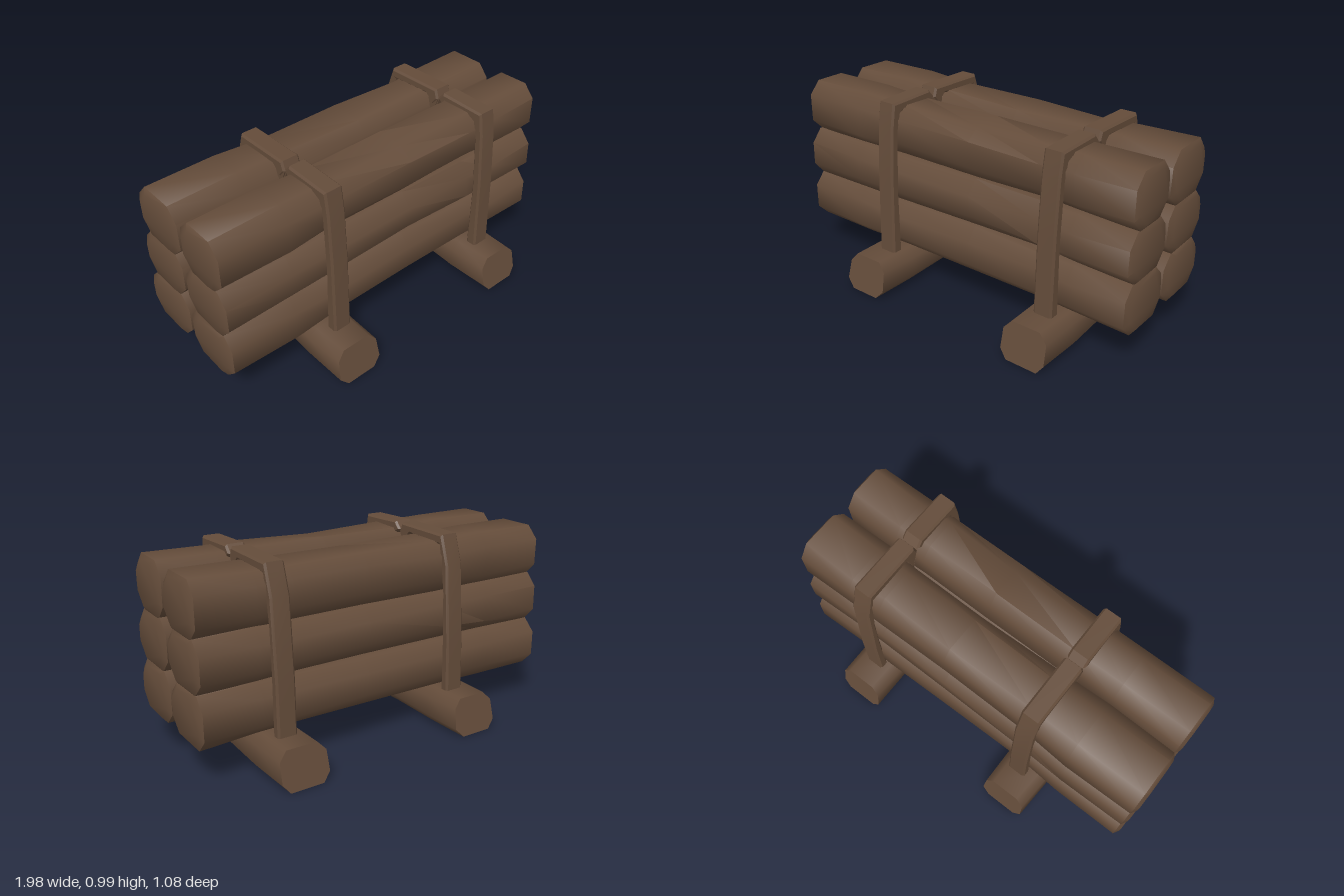
import * as THREE from 'three';
import { toCreasedNormals } from 'three/addons/utils/BufferGeometryUtils.js';

const wood = new THREE.MeshStandardMaterial({ color: 0x644c3a });
wood.name = 'dark brown wood';

// Seeded wobble for the hand-hewn look
let seed = 7;
function jitter(amount) {
  seed = (seed * 16807) % 2147483647;
  return (seed / 2147483647 - 0.5) * 2 * amount;
}

// Eight-sided ring: a box outline with chamfered corners, counter-clockwise
function ring(w, h, cx, cy) {
  return [
    [w, -h + cy], [w, h - cy], [w - cx, h], [-w + cx, h],
    [-w, h - cy], [-w, -h + cy], [-w + cx, -h], [w - cx, -h],
  ];
}

// Skin rings along z and close both ends; each section is { z, points }
function loft(sections) {
  const pos = [], index = [], n = 8;
  for (const s of sections) for (const [x, y, dz = 0] of s.points) pos.push(x, y, s.z + dz);
  for (let i = 0; i < sections.length - 1; i++) {
    for (let j = 0; j < n; j++) {
      const a = i * n + j, b = i * n + (j + 1) % n;
      index.push(a, b, b + n, a, b + n, a + n);
    }
  }
  const last = (sections.length - 1) * n;
  for (let j = 1; j < n - 1; j++) {
    index.push(0, j + 1, j, last, last + j, last + j + 1);
  }
  const g = new THREE.BufferGeometry();
  g.setAttribute('position', new THREE.Float32BufferAttribute(pos, 3));
  g.setIndex(index);
  return toCreasedNormals(g, 0.95);
}

function add(parent, name, geometry) {
  const mesh = new THREE.Mesh(geometry, wood);
  mesh.name = name;
  parent.add(mesh);
  return mesh;
}

// Log along x: [position, width scale, height scale]
const logProfile = [
  [-0.992, 0.84, 0.82], [-0.975, 1, 1], [-0.62, 0.99, 0.99], [-0.36, 0.95, 0.94],
  [0.1, 0.94, 0.94], [0.5, 0.95, 0.94], [0.68, 0.98, 0.97], [0.975, 1, 1], [0.992, 0.84, 0.82],
];
function logGeometry(w, h) {
  const sections = logProfile.map(([z, sw, sh], i) => {
    const inner = i > 1 && i < logProfile.length - 2;
    const wobble = inner ? 0.008 : 0.003;
    return {
      z,
      points: ring(w * sw, h * sh, 0.06, 0.065).map(([x, y]) => [x + jitter(wobble), y + jitter(wobble)]),
    };
  });
  return loft(sections).rotateY(Math.PI / 2);
}

// Skid along z: wide foot with ends that lean inward at the top
function skidGeometry() {
  const stations = [[-0.52, 0.12, 0.095], [-0.3, 0.125, 0.092], [0, 0.122, 0.086], [0.3, 0.125, 0.092], [0.52, 0.12, 0.095]];
  return loft(stations.map(([z, w, h]) => ({
    z,
    points: ring(w, h, 0.04, 0.045).map(([x, y]) => [
      x * (1 - y * 0.5) + jitter(0.004),
      y,
      Math.abs(z) > 0.5 ? -Math.sign(z) * y * 0.22 : 0,
    ]),
  })));
}

// Strap piece: outline in (z, y), given a width along x
function strapGeometry(outline, width) {
  const shape = new THREE.Shape(outline.map(([z, y]) => new THREE.Vector2(z, y)));
  const bevel = 0.01;
  const g = new THREE.ExtrudeGeometry(shape, {
    depth: width - 2 * bevel, bevelEnabled: true, bevelSegments: 1,
    bevelSize: bevel, bevelOffset: -bevel, bevelThickness: bevel,
  });
  g.translate(0, 0, -width / 2 + bevel).rotateY(-Math.PI / 2);
  return toCreasedNormals(g, 0.6);
}

const frontOutline = [
  [0.32, 0.18], [0.382, 0.18], [0.367, 0.6], [0.347, 0.87], [0.327, 0.99], [0.07, 0.995],
  [0.035, 0.955], [0.06, 0.935], [0.25, 0.945], [0.28, 0.93], [0.3, 0.85], [0.32, 0.55],
];
const backOutline = [
  [-0.335, 0.18], [-0.33, 0.5], [-0.32, 0.7], [-0.3, 0.84], [-0.28, 0.935], [-0.05, 0.948],
  [0.0, 0.9], [0.037, 0.945], [0.02, 0.995], [-0.3, 0.987], [-0.348, 0.84], [-0.378, 0.45], [-0.385, 0.18],
];
const middleOutline = [
  [0.04, 0.96], [0.005, 0.84], [0.012, 0.7], [0.02, 0.47], [0.02, 0.18],
  [-0.04, 0.18], [-0.038, 0.45], [-0.022, 0.7], [-0.015, 0.84], [-0.035, 0.945], [0, 0.86],
];

export function createModel() {
  const model = new THREE.Group();
  model.name = 'logStack';

  // Two columns of three logs: [y bottom, y top, z inner, z outer]
  const logs = new THREE.Group();
  logs.name = 'logs';
  model.add(logs);
  const rows = [
    ['bottomFrontLog', 0.188, 0.447, 0.003, 0.327], ['bottomBackLog', 0.188, 0.447, -0.345, -0.022],
    ['middleFrontLog', 0.445, 0.7, 0.01, 0.322], ['middleBackLog', 0.445, 0.7, -0.337, -0.022],
    ['topFrontLog', 0.695, 0.968, 0.022, 0.305], ['topBackLog', 0.69, 0.958, -0.322, -0.012],
  ];
  for (const [name, y0, y1, z0, z1] of rows) {
    const log = add(logs, name, logGeometry((z1 - z0) / 2, (y1 - y0) / 2));
    log.position.set(0, (y0 + y1) / 2, (z0 + z1) / 2);
  }

  // One skid and one binding at each end
  for (const [side, skidX, strapX] of [['right', -0.41, -0.39], ['left', 0.585, 0.587]]) {
    add(model, side + 'Skid', skidGeometry()).position.set(skidX, 0.1, 0);
    const binding = new THREE.Group();
    binding.name = side + 'Binding';
    binding.position.x = strapX;
    add(binding, 'frontStrap', strapGeometry(frontOutline, 0.1));
    add(binding, 'backStrap', strapGeometry(backOutline, 0.1));
    add(binding, 'middleStrap', strapGeometry(middleOutline, 0.09));
    model.add(binding);
  }
  return model;
}
